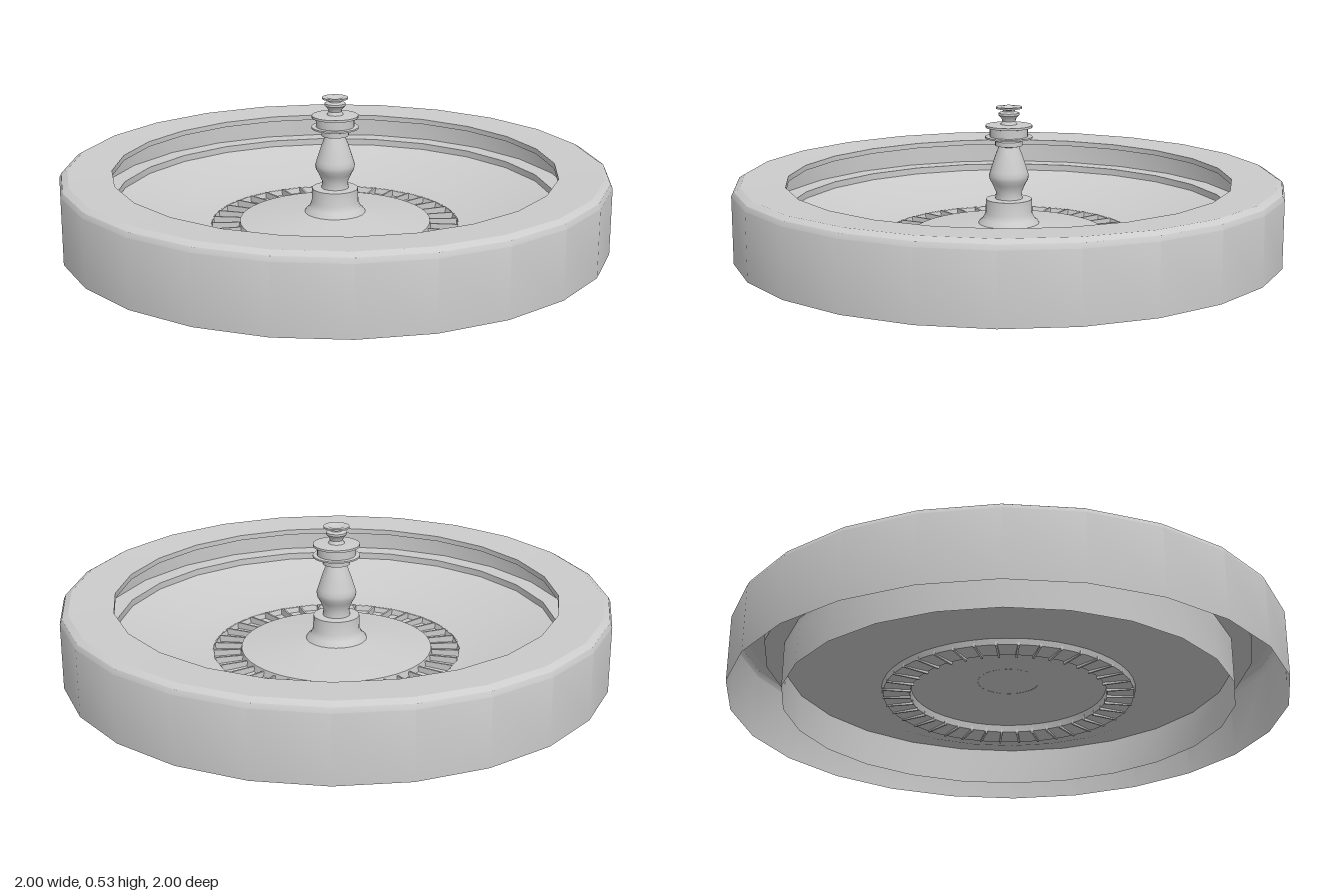
import * as THREE from 'three';
import { toCreasedNormals } from 'three/addons/utils/BufferGeometryUtils.js';

const material = new THREE.MeshStandardMaterial({ color: 0xcccccc, side: THREE.DoubleSide });

// Turned part: smooth around the axis, sharp where the profile bends
function turned(name, profile, sides, crease = 0.5) {
  const points = profile.map(([r, y]) => new THREE.Vector2(r, y));
  const geometry = toCreasedNormals(new THREE.LatheGeometry(points, sides), crease);
  const mesh = new THREE.Mesh(geometry, material);
  mesh.name = name;
  return mesh;
}

export function createModel() {
  const model = new THREE.Group();
  model.name = 'rouletteWheel';

  // Hollow outer wall, rounded shoulder, rim and the ball track under its lip
  model.add(turned('outerRim', [
    [1, 0], [1, 0.245], [0.992, 0.262], [0.97, 0.275],
    [0.81, 0.268], [0.81, 0.248],
    [0.88, 0.248], [0.88, 0.165], [0.81, 0.165], [0.81, 0.14],
  ], 24));

  // Skirt hanging below the track, open at the bottom
  model.add(turned('innerSkirt', [[0.81, 0], [0.81, 0.14]], 24));

  // Sloping bowl with a shallower inner band
  model.add(turned('bowl', [[0.455, 0.06], [0.575, 0.073], [0.81, 0.14]], 24, 0.05 + 0.3));

  // Sunken pocket ring
  const pockets = new THREE.Group();
  pockets.name = 'pocketRing';
  pockets.add(turned('pocketFloor', [
    [0.35, 0.07], [0.355, 0.045], [0.45, 0.04], [0.456, 0.061],
  ], 48));

  // Thin dividers between the pockets
  const count = 38;
  const dividerGeometry = new THREE.BoxGeometry(0.007, 0.028, 0.1);
  for (let i = 0; i < count; i++) {
    const angle = ((i + 0.5) / count) * Math.PI * 2;
    const divider = new THREE.Mesh(dividerGeometry, material);
    divider.name = 'pocketDivider';
    divider.position.set(Math.sin(angle) * 0.402, 0.05, Math.cos(angle) * 0.402);
    divider.rotation.y = angle;
    pockets.add(divider);
  }
  model.add(pockets);

  // Low cone rising to the spindle
  model.add(turned('hubCone', [[0.35, 0.07], [0.1, 0.102], [0, 0.11]], 48));

  // Spindle: flared foot, band, bulb and collar
  model.add(turned('spindle', [
    [0.112, 0.1], [0.108, 0.108], [0.095, 0.118], [0.086, 0.14],
    [0.084, 0.19], [0.05, 0.192], [0.047, 0.215],
    [0.06, 0.245], [0.07, 0.262], [0.073, 0.278], [0.068, 0.295],
    [0.052, 0.345], [0.037, 0.385],
    [0.05, 0.388], [0.05, 0.405], [0.036, 0.407], [0.036, 0.415],
  ], 24, 0.6));

  // Turret with two wide plates
  model.add(turned('turret', [
    [0.036, 0.415], [0.086, 0.415], [0.086, 0.421], [0.07, 0.422],
    [0.07, 0.452], [0.085, 0.455], [0.085, 0.463],
    [0.03, 0.466], [0.024, 0.478],
  ], 24, 0.6));

  // Finial with a small cupped cap
  model.add(turned('finial', [
    [0.024, 0.478], [0.027, 0.488], [0.038, 0.5], [0.038, 0.508],
    [0.022, 0.513], [0.022, 0.518], [0.047, 0.524], [0.047, 0.53],
    [0.03, 0.53], [0.022, 0.526], [0, 0.524],
  ], 24, 0.6));

  return model;
}
